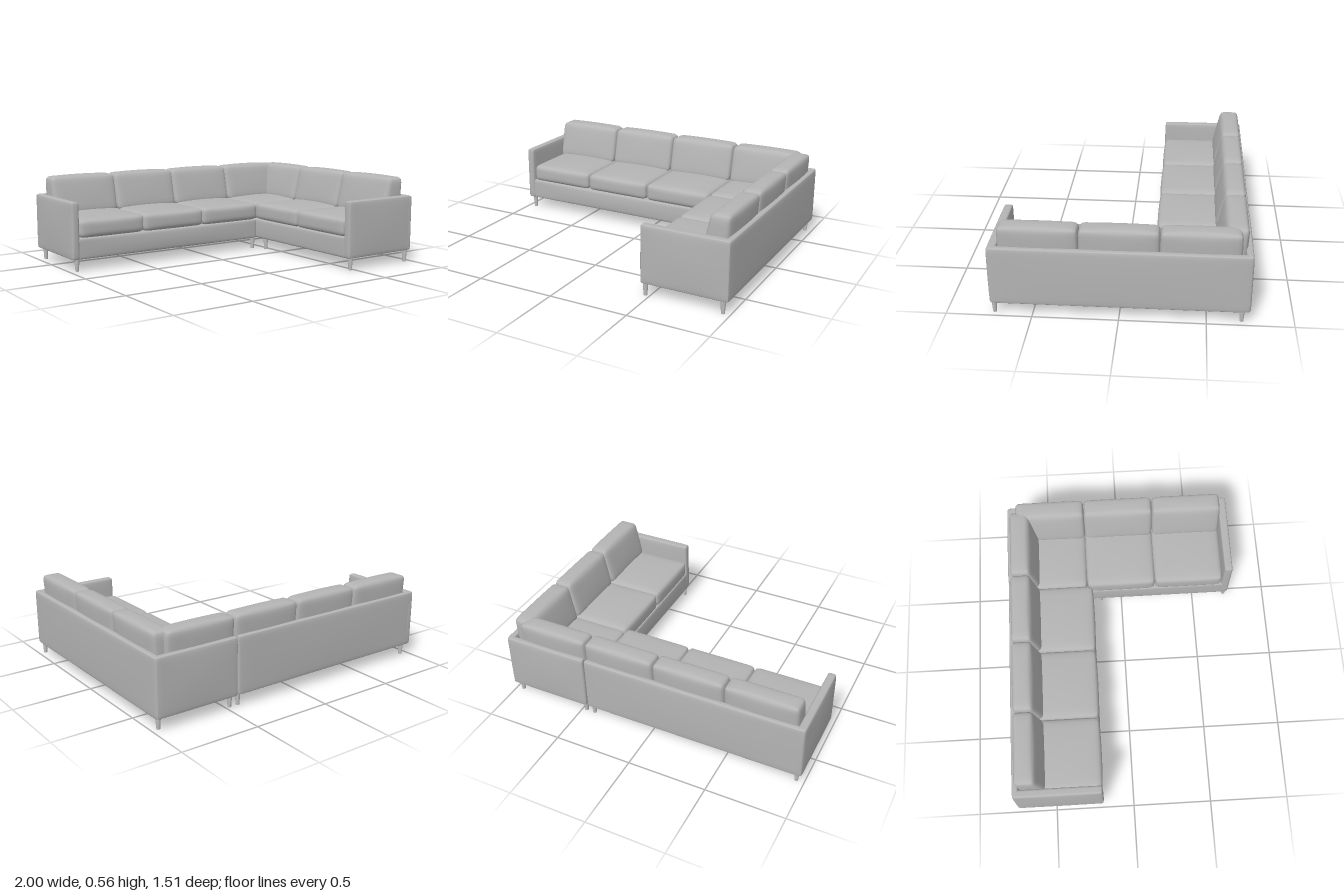
import * as THREE from 'three';
import { mergeVertices } from 'three/addons/utils/BufferGeometryUtils.js';

const SEG = 12;

// Upholstered block: rounded edges (radius r), faces swelling by puff = [x, y, z],
// optional wedge that thins and leans the block backwards towards its top.
function softBox(w, h, d, r, puff, wedge = false) {
  let geo = new THREE.BoxGeometry(2, 2, 2, SEG, SEG, SEG);
  geo.deleteAttribute('uv');
  geo.deleteAttribute('normal');
  geo = mergeVertices(geo);
  const half = new THREE.Vector3(w / 2, h / 2, d / 2);
  const inner = half.clone().subScalar(r);
  const pos = geo.attributes.position;
  const u = new THREE.Vector3(), p = new THREE.Vector3(), core = new THREE.Vector3();
  const lift = (a, b, c, amount) => c * amount * (1 - a * a) * (1 - b * b);
  for (let i = 0; i < pos.count; i++) {
    u.fromBufferAttribute(pos, i);
    // crowd the vertices towards the edges
    u.set(Math.sin(u.x * Math.PI / 2), Math.sin(u.y * Math.PI / 2), Math.sin(u.z * Math.PI / 2));
    p.copy(u).multiply(half);
    core.copy(p).clamp(inner.clone().negate(), inner);
    p.sub(core).setLength(r).add(core);
    p.x += lift(u.y, u.z, u.x, puff[0]);
    p.y += lift(u.x, u.z, u.y, puff[1]);
    p.z += lift(u.x, u.y, u.z, puff[2]);
    if (wedge) {
      const t = p.y / h + 0.5;
      p.z = p.z * (1 - 0.25 * t) - 0.035 * t;
    }
    pos.setXYZ(i, p.x, p.y, p.z);
  }
  geo.computeVertexNormals();
  return geo;
}

export function createModel() {
  const sofa = new THREE.Group();
  sofa.name = 'cornerSofa';
  const fabric = new THREE.MeshStandardMaterial({ color: 0xb4b4b4 });
  fabric.name = 'grey fabric';
  const legGrey = new THREE.MeshStandardMaterial({ color: 0xbebebe });
  legGrey.name = 'light grey leg';

  const add = (parent, name, geo, mat, x, y, z) => {
    const mesh = new THREE.Mesh(geo, mat);
    mesh.name = name;
    mesh.position.set(x, y, z);
    parent.add(mesh);
    return mesh;
  };
  // Block given by its limits on each axis
  const block = (parent, name, [x0, x1], [y0, y1], [z0, z1], r, puff) =>
    add(parent, name, softBox(x1 - x0, y1 - y0, z1 - z0, r, puff), fabric,
      (x0 + x1) / 2, (y0 + y1) / 2, (z0 + z1) / 2);

  const longUnit = new THREE.Group();
  longUnit.name = 'longUnit';
  const returnUnit = new THREE.Group();
  returnUnit.name = 'returnUnit';
  sofa.add(longUnit, returnUnit);

  // Frames: bases, arms and backs
  const baseY = [0.075, 0.208], wallY = [0.075, 0.437];
  block(longUnit, 'base', [-0.96, 0.435], baseY, [-0.73, -0.2], 0.012, [0, 0, 0.008]);
  block(longUnit, 'backPanel', [-0.985, 0.435], wallY, [-0.745, -0.705], 0.014, [0, 0, 0.006]);
  block(longUnit, 'arm', [-0.99, -0.938], wallY, [-0.743, -0.195], 0.014, [0.008, 0, 0.004]);

  block(returnUnit, 'base', [0.443, 0.97], baseY, [-0.73, 0.72], 0.012, [0.004, 0, 0]);
  block(returnUnit, 'endBackPanel', [0.443, 0.988], wallY, [-0.748, -0.705], 0.014, [0.002, 0, 0.008]);
  block(returnUnit, 'sideBackPanel', [0.95, 0.993], wallY, [-0.742, 0.742], 0.014, [0.005, 0, 0.002]);
  block(returnUnit, 'arm', [0.443, 0.988], wallY, [0.688, 0.742], 0.014, [0.002, 0, 0.008]);

  // Seat cushions
  const seatY = [0.207, 0.322], seatPuff = [0.003, 0.012, 0.006];
  for (let i = 0; i < 3; i++) {
    const x = -0.932 + i * 0.457;
    block(longUnit, 'seatCushion', [x, x + 0.455], seatY, [-0.7, -0.195], 0.03, seatPuff);
    const z = -0.685 + i * 0.457;
    block(returnUnit, 'seatCushion', [0.437, 0.95], seatY, [z, z + 0.455], 0.03, seatPuff);
  }

  // Back cushions: four along the rear, three along the side
  const backCushion = (parent, width, x, z, turn) => {
    const geo = softBox(width, 0.245, 0.165, 0.03, [0.004, 0.008, 0.008], true);
    add(parent, 'backCushion', geo, fabric, x, 0.43, z).rotation.y = turn;
  };
  for (let i = 0; i < 4; i++) {
    backCushion(i < 3 ? longUnit : returnUnit, 0.452, -0.708 + i * 0.459, -0.625, 0);
  }
  for (let i = 0; i < 3; i++) {
    backCushion(returnUnit, 0.452, 0.868, -0.457 + i * 0.457, -Math.PI / 2);
  }

  // Tapered legs under each unit
  const legGeo = new THREE.CylinderGeometry(0.017, 0.011, 0.085, 20);
  const legs = (parent, xs, zs) => {
    for (const x of xs) for (const z of zs) add(parent, 'leg', legGeo, legGrey, x, 0.0425, z);
  };
  legs(longUnit, [-0.95, 0.413], [-0.7, -0.222]);
  legs(returnUnit, [0.472, 0.955], [-0.7, 0.722]);
  legs(returnUnit, [0.472], [-0.142]);

  return sofa;
}
